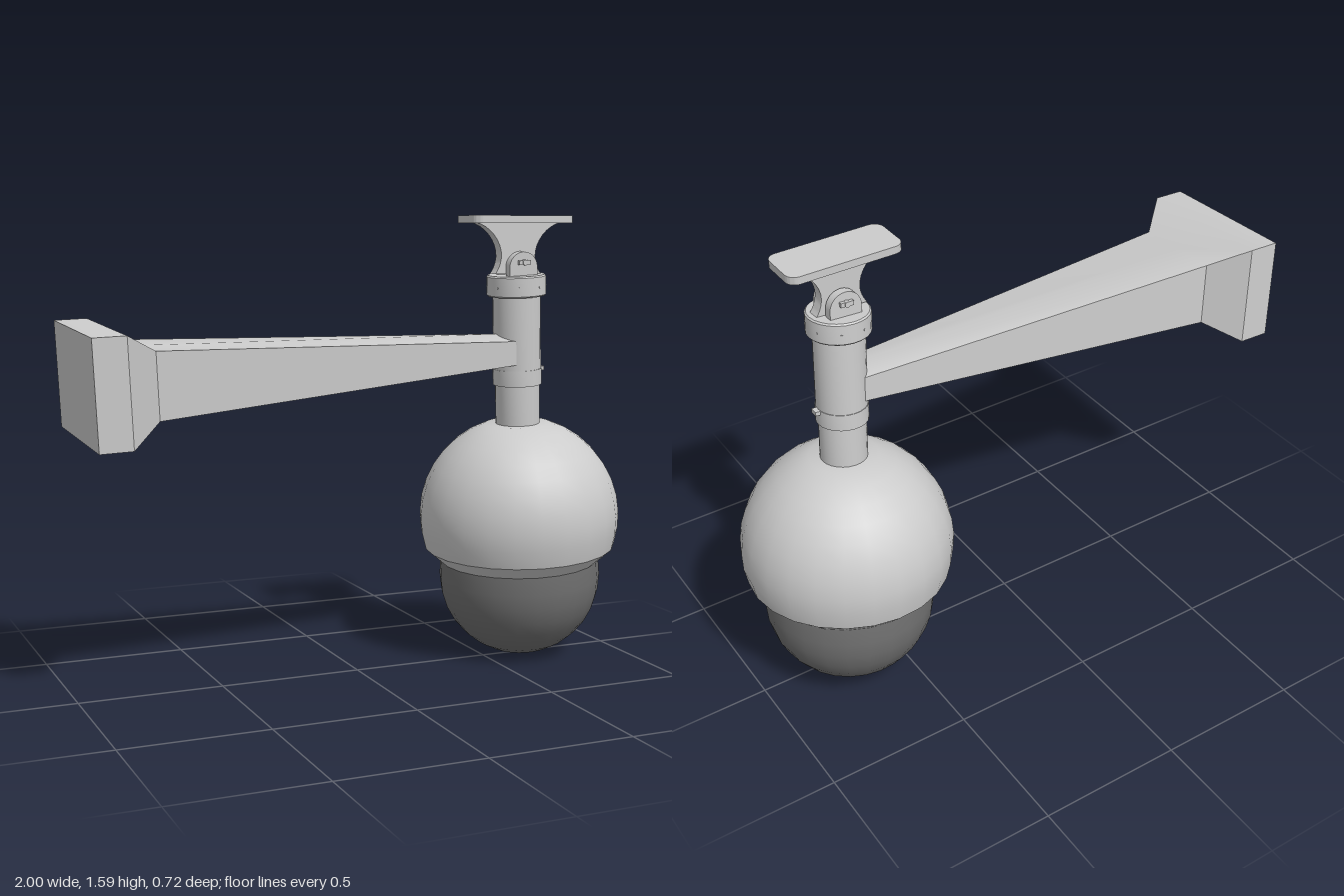
import * as THREE from 'three';
import { toCreasedNormals } from 'three/addons/utils/BufferGeometryUtils.js';

const grey = new THREE.MeshStandardMaterial({ color: 0xcccccc });
const dark = new THREE.MeshStandardMaterial({ color: 0x707070 });

function add(parent, name, geometry, x = 0, y = 0, z = 0, material = grey) {
  const mesh = new THREE.Mesh(geometry, material);
  mesh.name = name;
  mesh.position.set(x, y, z);
  parent.add(mesh);
  return mesh;
}

// Lathe from [radius, y] pairs listed bottom to top
function lathe(pairs, crease = 0.5) {
  const points = pairs.map(([r, y]) => new THREE.Vector2(r, y));
  return toCreasedNormals(new THREE.LatheGeometry(points, 24), crease);
}

// Arc of a sphere profile, angles measured from the equator
function arc(radius, cy, from, to, steps) {
  return Array.from({ length: steps + 1 }, (_, i) => {
    const a = from + (to - from) * i / steps;
    return [Math.max(0, radius * Math.cos(a)), cy + radius * Math.sin(a)];
  });
}

// Slightly tilted rectangular section with an optional ridge along its top
function section({ x, y, z, h, w, ridge = 0 }) {
  return [[-1, -1], [-1, 1], [1, 1], [1, 0], [1, -1]].map(([v, u]) => [
    x - 0.055 * v * h,
    y + v * h - 0.045 * u * w + (v > 0 && u === 0 ? ridge : 0),
    z + u * w + 0.045 * v * h,
  ]);
}

// Skin a row of sections and close both ends
function loft(rings) {
  const n = rings[0].length, index = [];
  for (let r = 0; r < rings.length - 1; r++) {
    for (let i = 0; i < n; i++) {
      const a = r * n + i, b = r * n + (i + 1) % n;
      index.push(a, a + n, b, b, a + n, b + n);
    }
  }
  const end = (rings.length - 1) * n;
  for (let i = 1; i < n - 1; i++) {
    index.push(0, i, i + 1, end, end + i + 1, end + i);
  }
  const g = new THREE.BufferGeometry();
  g.setAttribute('position', new THREE.Float32BufferAttribute(rings.flat(2), 3));
  g.setIndex(index);
  return toCreasedNormals(g, 0.6);
}

function extrude(shape, depth) {
  const g = new THREE.ExtrudeGeometry(shape, { depth, bevelEnabled: false, curveSegments: 8 });
  return toCreasedNormals(g.translate(0, 0, -depth / 2), 0.5);
}

export function createModel() {
  const model = new THREE.Group();
  model.name = 'domeCamera';

  // Wall plate flaring into the tapered arm
  add(model, 'wallArm', loft([
    { x: -0.99, y: 1.062, z: 0.04, h: 0.179, w: 0.264 },
    { x: -0.88, y: 1.066, z: 0.04, h: 0.179, w: 0.264 },
    { x: -0.765, y: 1.07, z: 0.0375, h: 0.112, w: 0.163 },
    { x: 0.57, y: 1.12, z: 0.033, h: 0.042, w: 0.07, ridge: 0.02 },
  ].map(section)));

  // Level ceiling plate with rounded corners
  const W = 0.197, D = 0.083, R = 0.035;
  const plate = new THREE.Shape();
  plate.absarc(W - R, D - R, R, 0, Math.PI / 2);
  plate.absarc(R - W, D - R, R, Math.PI / 2, Math.PI);
  plate.absarc(R - W, R - D, R, Math.PI, Math.PI * 1.5);
  plate.absarc(W - R, R - D, R, Math.PI * 1.5, Math.PI * 2);
  plate.closePath();
  add(model, 'ceilingPlate', extrude(plate, 0.026).rotateX(Math.PI / 2), 0.585, 1.585, 0.045);

  // Curved blade hanging from the plate
  const blade = new THREE.Shape();
  blade.moveTo(-0.175, 0.15);
  blade.bezierCurveTo(-0.11, 0.14, -0.065, 0.08, -0.067, 0.03);
  blade.quadraticCurveTo(-0.07, -0.005, -0.09, -0.03);
  blade.lineTo(0.09, -0.03);
  blade.quadraticCurveTo(0.07, -0.005, 0.067, 0.03);
  blade.bezierCurveTo(0.065, 0.08, 0.11, 0.14, 0.175, 0.15);
  blade.closePath();
  add(model, 'ceilingBlade', extrude(blade, 0.042), 0.585, 1.425, 0.049);

  // Camera head, tilted about the ceiling pivot
  const head = new THREE.Group();
  head.name = 'cameraHead';
  head.position.set(0.592, 1.392, 0.043);
  head.rotation.set(0.049, 0, 0.053);
  model.add(head);

  // Clevis ears and pivot pin
  const ear = new THREE.Shape();
  ear.moveTo(-0.055, -0.01);
  ear.lineTo(0.055, -0.01);
  ear.lineTo(0.055, 0.028);
  ear.absarc(0, 0.028, 0.055, 0, Math.PI);
  ear.closePath();
  for (const s of [-1, 1]) {
    add(head, 'clevisEar', extrude(ear, 0.03), 0, 0, s * 0.04);
    add(head, 'pinHead', new THREE.BoxGeometry(0.045, 0.015, 0.014), 0, 0.046, s * 0.06);
  }
  add(head, 'pivotPin', new THREE.CylinderGeometry(0.01, 0.01, 0.14, 10).rotateX(Math.PI / 2), 0, 0.046, 0);

  // Collar with small screws
  add(head, 'collar', lathe([[0, -0.075], [0.1, -0.075], [0.105, -0.07], [0.105, -0.005], [0.1, 0], [0, 0]]));
  for (let i = 0; i < 8; i++) {
    const a = (i + 0.5) * Math.PI / 4;
    const screw = add(head, 'collarScrew', new THREE.CylinderGeometry(0.004, 0.004, 0.004, 6).rotateX(Math.PI / 2),
      0.104 * Math.sin(a), -0.04, 0.104 * Math.cos(a));
    screw.rotation.y = a;
  }

  // Stepped pole, clamp ring and its tab
  add(head, 'pole', lathe([[0.079, -0.56], [0.079, -0.39], [0.085, -0.39], [0.085, -0.07]]));
  add(head, 'clampRing', lathe([[0.083, -0.392], [0.087, -0.392], [0.087, -0.335], [0.083, -0.335]]));
  add(head, 'clampTab', new THREE.BoxGeometry(0.04, 0.014, 0.03), 0.082, -0.342, 0);

  // Upper housing with a bevelled rim
  add(head, 'housing', lathe([[0, -1.035], [0.29, -1.035],
    ...arc(0.361, -0.876, -0.31, 1.24, 9), [0, -0.533]], 0.45));

  // Dark viewing dome
  add(head, 'viewingDome', lathe([...arc(0.292, -1.1, -Math.PI / 2, 0, 8), [0.288, -1.03]], 0.45),
    0, 0, 0, dark);

  return model;
}
